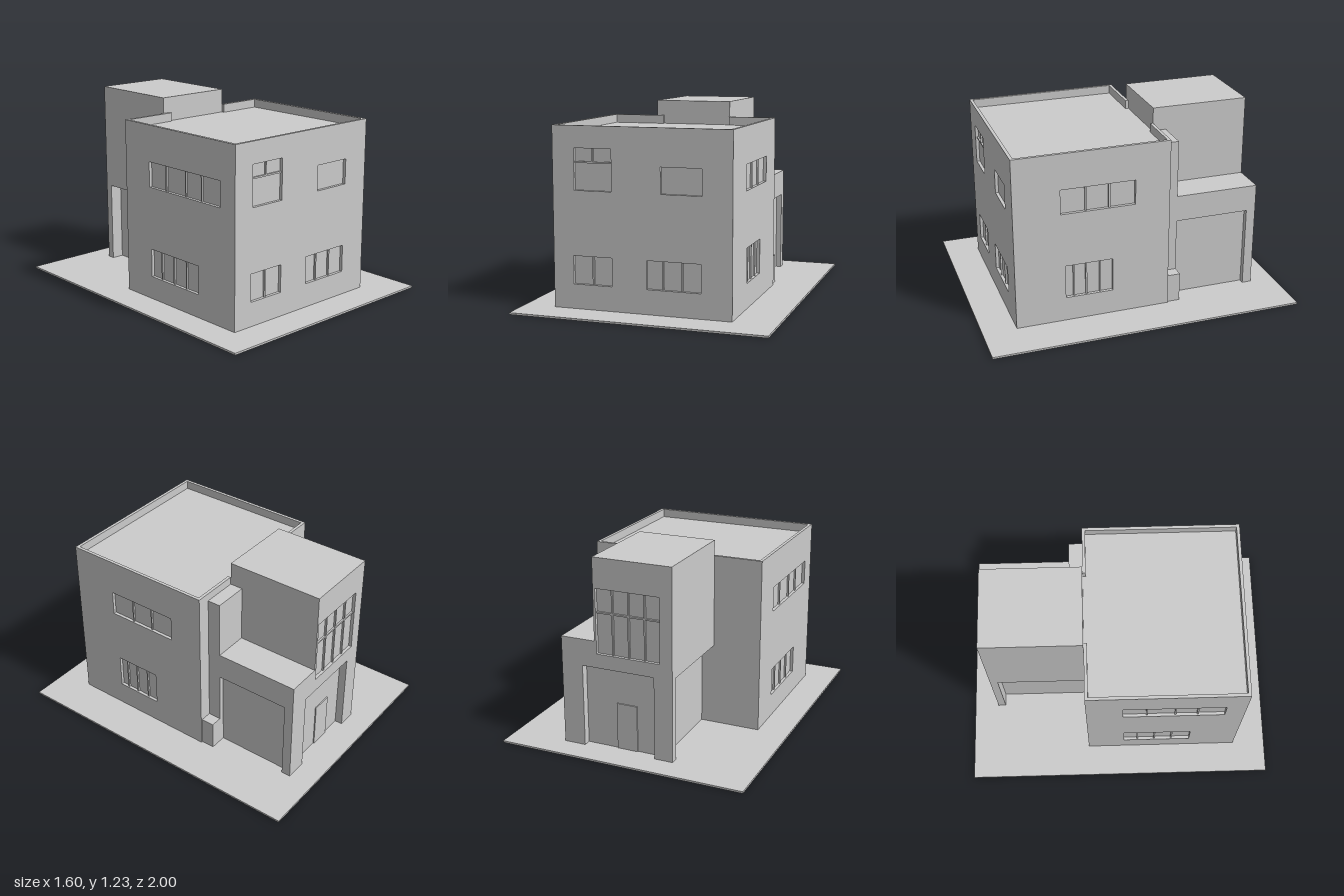
import * as THREE from 'three';

const material = new THREE.MeshStandardMaterial({ color: 0xcccccc, flatShading: true });
const GROUND = 0.012;

function add(parent, geometry, name) {
  const mesh = new THREE.Mesh(geometry, material);
  mesh.name = name;
  parent.add(mesh);
  return mesh;
}

// Box given by its limits on each axis
function block(parent, name, [x0, x1], [y0, y1], [z0, z1]) {
  const mesh = add(parent, new THREE.BoxGeometry(x1 - x0, y1 - y0, z1 - z0), name);
  mesh.position.set((x0 + x1) / 2, (y0 + y1) / 2, (z0 + z1) / 2);
  return mesh;
}

const rect = (u0, u1, y0, y1) => [[u0, y0], [u1, y0], [u1, y1], [u0, y1]];
const toPoints = (list) => list.map(([u, y]) => new THREE.Vector2(u, y));

// Wall in its own frame: u runs to the right, z = 0 is the outer face.
// Openings: box [u0, u1, y0, y1], vertical bars, [u, y0, y1], transoms at y, optional pane depth
function wall(parent, name, outline, depth, openings, angle, offset) {
  const group = new THREE.Group();
  group.name = name;
  const shape = new THREE.Shape(toPoints(outline));
  for (const o of openings) shape.holes.push(new THREE.Path(toPoints(rect(...o.box))));
  const geometry = new THREE.ExtrudeGeometry(shape, { depth, bevelEnabled: false });
  geometry.translate(0, 0, -depth);
  add(group, geometry, 'wallPanel');
  for (const { box: [u0, u1, y0, y1], bars = [], transoms = [], pane } of openings) {
    const back = pane ?? depth;
    const barZ = [-back, -back + 0.011];
    const t = 0.005;
    if (pane) block(group, 'windowPane', [u0, u1], [y0, y1], [-depth, -pane]);
    for (const [u, b0 = y0, b1 = y1] of bars) block(group, 'windowBar', [u - t, u + t], [b0, b1], barZ);
    for (const y of transoms) block(group, 'windowTransom', [u0, u1], [y - t, y + t], barZ);
  }
  group.rotation.y = angle;
  group.position.set(Math.sin(angle) * offset, 0, Math.cos(angle) * offset);
  parent.add(group);
}

const FRONT = 0, RIGHT = Math.PI / 2, BACK = Math.PI, LEFT = -Math.PI / 2;

function mainBuilding() {
  const g = new THREE.Group();
  g.name = 'mainBuilding';
  const d = 0.02, top = 1.13, roof = 1.075;
  block(g, 'buildingCore', [-0.6 + d, 0.53 - d], [0, roof], [-0.21, 0.785 - d]);

  wall(g, 'frontWall', rect(-0.6, 0.53, 0, top), d, [
    { box: [-0.46, -0.22, 0.74, 0.995], bars: [[-0.345, 0.91, 0.995]], transoms: [0.91] },
    { box: [0.09, 0.345, 0.74, 0.9] },
    { box: [-0.47, -0.22, 0.165, 0.34], bars: [[-0.345]] },
    { box: [0, 0.34, 0.165, 0.34], bars: [[0.1], [0.22]] },
  ], FRONT, 0.785);

  wall(g, 'leftSideWall', rect(-0.785, 0.21, 0, top), d, [
    { box: [-0.49, -0.015, 0.74, 0.9], bars: [[-0.33], [-0.18]] },
    { box: [-0.465, -0.16, 0.17, 0.39], bars: [[-0.41], [-0.33], [-0.24]] },
  ], RIGHT, 0.53);

  wall(g, 'rightSideWall', rect(-0.21, 0.785, 0, top), d, [
    { box: [0.02, 0.66, 0.74, 0.9], bars: [[0.17], [0.35], [0.49]] },
    { box: [0.03, 0.47, 0.16, 0.34], bars: [[0.12], [0.235], [0.35]] },
  ], LEFT, 0.6);

  // Rear parapet, interrupted by the tower
  block(g, 'rearParapet', [-0.6, -0.24], [roof, top], [-0.21, -0.19]);
  block(g, 'rearParapet', [0.22, 0.53], [roof, top], [-0.21, -0.19]);
  return g;
}

function rearWing() {
  const g = new THREE.Group();
  g.name = 'rearWing';
  const low = 0.71, high = 1.23, lintel = 0.54;
  block(g, 'wingCore', [-0.21, 0.41], [0, low], [-0.79, -0.21]);
  block(g, 'towerCore', [-0.29, 0.22], [low, high], [-0.79, -0.21]);

  // Stepped back wall with the tall stair window and the entrance bay (u = -x)
  wall(g, 'backWall',
    [[-0.445, 0], [0.29, 0], [0.29, high], [-0.22, high], [-0.22, low], [-0.445, low]], 0.05, [
      { box: [-0.205, 0.21, 0.63, 1.04], bars: [[-0.1], [0.005], [0.11]], transoms: [0.89], pane: 0.02 },
      { box: [-0.305, 0.17, GROUND, lintel] },
    ], BACK, 0.84);
  block(g, 'entranceDoor', [-0.035, 0.1], [0, 0.31], [-0.797, -0.78]);

  wall(g, 'wingLeftWall', rect(0.21, 0.84, 0, low), 0.035, [
    { box: [0.29, 0.78, GROUND, lintel] },
  ], RIGHT, 0.445);

  wall(g, 'wingRightWall', rect(-0.84, -0.15, 0, low), 0.08, [
    { box: [-0.79, -0.2, GROUND, lintel] },
  ], LEFT, 0.29);

  // Shaft against the main building and the low box beside it
  block(g, 'shaft', [0.2, 0.445], [0, 1.08], [-0.295, -0.21]);
  block(g, 'utilityBox', [0.4, 0.52], [0, 0.2], [-0.295, -0.21]);
  return g;
}

export function createModel() {
  const model = new THREE.Group();
  model.name = 'building';
  block(model, 'groundPlate', [-0.8, 0.8], [0, GROUND], [-1, 1]);
  model.add(mainBuilding(), rearWing());
  return model;
}
